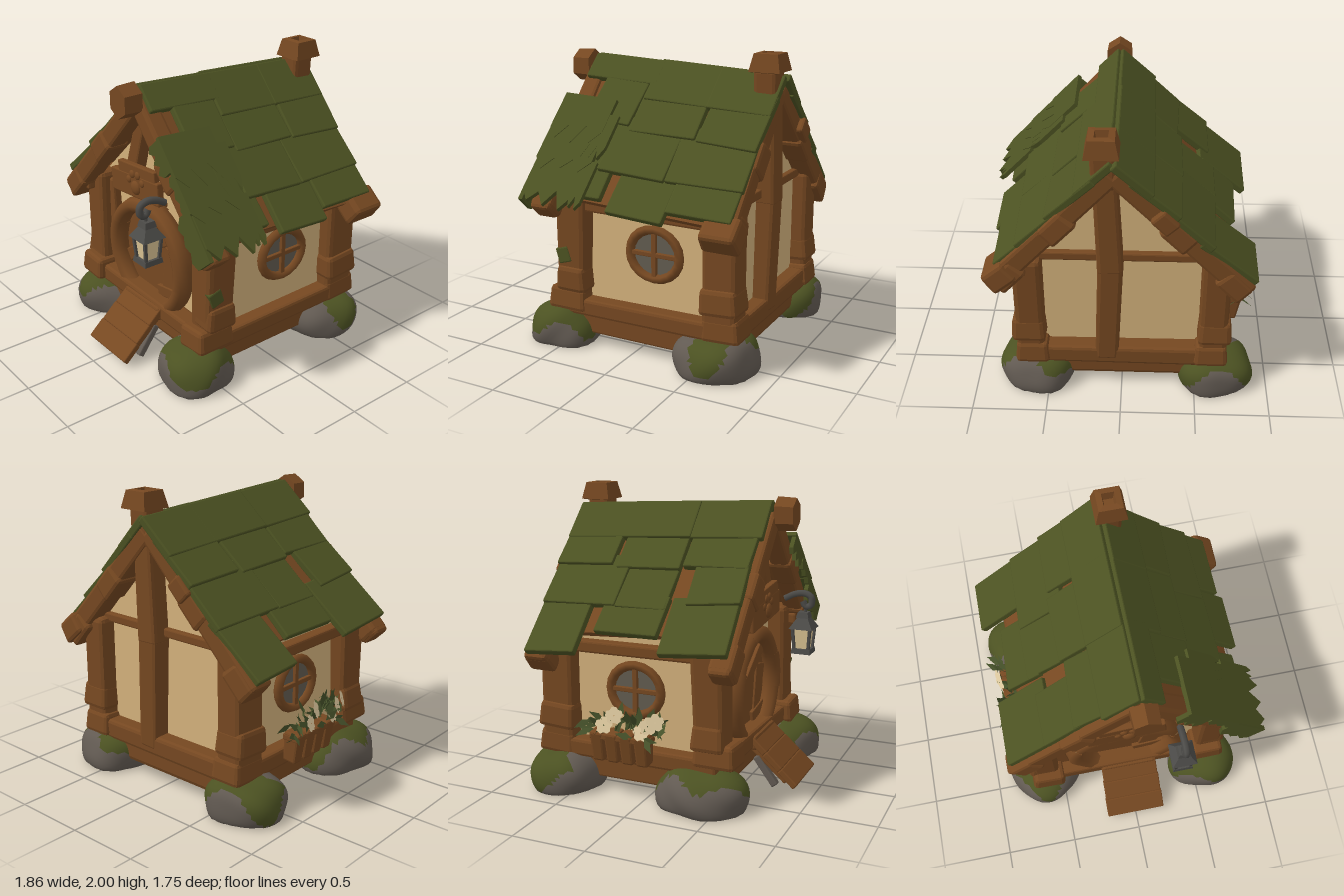
import * as THREE from 'three';
import { mergeVertices } from 'three/addons/utils/BufferGeometryUtils.js';
import { RoundedBoxGeometry } from 'three/addons/geometries/RoundedBoxGeometry.js';

const mat = (name, color, side = THREE.FrontSide) => new THREE.MeshStandardMaterial({ name, color, side });
const V = (x, y, z) => new THREE.Vector3(x, y, z);
const shapeOf = pts => new THREE.Shape(pts.map(p => new THREE.Vector2(...p)));

export function createModel() {
  const root = new THREE.Group();
  root.name = 'cottage';
  const wood = mat('wood', 0x764821), moss = mat('moss', 0x4c5222), plaster = mat('plaster', 0xd4b27c);
  const stone = mat('stone', 0x625a52), iron = mat('iron', 0x4c4b48), glass = mat('glass', 0x625c50);
  const glow = mat('lampGlass', 0xdcc594), leaf = mat('leaf', 0x46522a, THREE.DoubleSide), petal = mat('petal', 0xe8d2a6, THREE.DoubleSide);
  let seed = 7;
  const rnd = (a, b) => { seed = (seed * 16807) % 2147483647; return a + (b - a) * seed / 2147483647; };

  const add = (name, geo, m, x = 0, y = 0, z = 0, parent = root) => {
    const mesh = new THREE.Mesh(geo, m);
    mesh.name = name;
    mesh.position.set(x, y, z);
    parent.add(mesh);
    return mesh;
  };
  // bevelled block, optionally narrowing towards its +y end
  const block = (w, h, d, taper = 0) => {
    const g = new RoundedBoxGeometry(w, h, d, 1, Math.min(w, h, d) * 0.17);
    const p = g.attributes.position;
    for (let i = 0; i < p.count; i++) {
      const k = 1 - taper * p.getY(i) / h;
      p.setXYZ(i, p.getX(i) * k, p.getY(i), p.getZ(i) * k);
    }
    g.computeVertexNormals();
    return g;
  };
  // timber running from a to b
  const beam = (name, a, b, w, d, taper = 0, m = wood) => {
    const y = b.clone().sub(a), len = y.length();
    y.normalize();
    const ref = Math.abs(y.z) > 0.8 ? V(0, 1, 0) : V(0, 0, 1);
    const x = y.clone().cross(ref).normalize(), z = x.clone().cross(y);
    const mesh = add(name, block(w, len, d, taper), m);
    mesh.quaternion.setFromRotationMatrix(new THREE.Matrix4().makeBasis(x, y, z));
    mesh.position.copy(a).add(b).multiplyScalar(0.5);
    return mesh;
  };

  // plaster house body
  const outline = shapeOf([[-0.6, 0.3], [0.6, 0.3], [0.6, 1.12], [0.05, 1.72], [-0.6, 1.1]]);
  add('walls', new THREE.ExtrudeGeometry(outline, { depth: 1.08, bevelEnabled: false }), plaster, 0, 0, -0.66);

  // floor and sills
  add('floor', block(1.24, 0.2, 1.22), wood, 0, 0.18, -0.11);
  beam('frontSill', V(-0.6, 0.33, 0.5), V(0.6, 0.3, 0.5), 0.12, 0.14, 0.1);
  beam('backSill', V(-0.68, 0.29, -0.7), V(0.68, 0.29, -0.7), 0.14, 0.14, 0.1);
  for (const s of [-1, 1]) {
    beam('sideSill', V(s * 0.63, 0.29, -0.66), V(s * 0.63, 0.28, 0.5), 0.15, 0.12, 0.05);
    beam('lowerSideSill', V(s * 0.61, 0.16, -0.66), V(s * 0.61, 0.16, 0.5), 0.08, 0.15);
    beam('eaveBeam', V(s * 0.65, 0.99, -0.74), V(s * 0.65, 1.0, 0.6), 0.09, 0.08);
    // corner posts with footing blocks
    beam('frontPost', V(s * 0.61, 0.3, 0.45), V(s * 0.62, 1.1, 0.43), 0.2, 0.22, -0.12);
    beam('backPost', V(s * 0.61, 0.3, -0.65), V(s * 0.61, 1.08, -0.65), 0.19, 0.24);
    add('frontFoot', block(0.23, 0.16, 0.28, 0.1), wood, s * 0.6, s < 0 ? 0.36 : 0.32, 0.48).rotation.z = s * 0.06;
    add('backFoot', block(0.22, 0.16, 0.26, 0.1), wood, s * 0.6, 0.31, -0.66).rotation.x = 0.05;
    add('frontPostCollar', block(0.18, 0.18, 0.22, 0.15), wood, s * 0.64, 0.48, 0.44).rotation.z = -0.08;
    add('backPostCollar', block(0.22, 0.18, 0.26, 0.1), wood, s * 0.62, 0.5, -0.65).rotation.x = 0.06;
  }
  beam('frontBrace', V(-0.51, 0.36, 0.43), V(-0.56, 1.05, 0.43), 0.18, 0.1, 0.1);
  add('postMoss', block(0.06, 0.11, 0.1), moss, 0.69, 0.64, 0.49).rotation.x = 0.3;

  // gable timbers
  beam('frontTie', V(-0.56, 1.06, 0.42), V(0.1, 1.06, 0.42), 0.055, 0.05);
  beam('gableStrut', V(-0.21, 1.2, 0.46), V(-0.05, 1.7, 0.46), 0.11, 0.09, 0.1);
  beam('gableStrut', V(0.25, 1.22, 0.48), V(0.14, 1.52, 0.48), 0.11, 0.09, 0.1);
  beam('gableStrut', V(0.32, 1.24, 0.45), V(0.06, 1.72, 0.45), 0.1, 0.08, 0.1);
  beam('backTie', V(-0.6, 1.08, -0.67), V(0.6, 1.08, -0.67), 0.06, 0.06);
  beam('backCentrePost', V(0.1, 0.26, -0.7), V(0.07, 1.05, -0.71), 0.16, 0.15, -0.05);
  beam('backCentrePost', V(0.07, 1.0, -0.71), V(0.1, 1.72, -0.71), 0.16, 0.15, 0.1);

  // rafters at both ends, with wrapped joints; the back pair sits lower
  for (const [z, d, y0] of [[0.57, 0.14, 0], [-0.72, 0.16, -0.06]]) {
    beam('leftRafter', V(0.05, 1.81 + y0, z), V(-0.81, 0.91 + y0 / 2, z), 0.14, d, -0.15);
    beam('rightRafter', V(0.05, 1.81 + y0, z), V(0.82, 0.95 + y0 / 2, z), 0.14, d, -0.15);
    for (const [x, y, a] of [[-0.36, 1.38, 0.8], [-0.72, 1.0, 0.8], [0.4, 1.42, -0.83], [0.73, 1.04, -0.83]])
      add('rafterJoint', block(0.22, 0.155, d + 0.03, 0.1), wood, x, y + y0, z).rotation.z = a;
  }
  add('rafterPeg', block(0.15, 0.12, 0.1), wood, -0.27, 1.44, -0.79).rotation.z = 0.8;
  add('rafterTail', block(0.19, 0.16, 0.25, 0.1), wood, 0.78, 0.98, -0.71).rotation.z = -0.7;
  add('ridgeBeam', block(0.1, 0.1, 1.34), wood, 0.05, 1.74, -0.07);
  const ridgeEnd = add('ridgeEnd', new THREE.CylinderGeometry(0.095, 0.1, 0.13, 6).toNonIndexed(), wood, 0.06, 1.83, 0.69);
  ridgeEnd.rotation.x = Math.PI / 2;
  ridgeEnd.scale.z = 1.15;
  ridgeEnd.geometry.computeVertexNormals();

  // mossy slab whose far edge is torn into uneven tufts
  const ragged = (len, width) => {
    const pts = [[0, -width / 2]];
    for (let i = 0; i <= 6; i++) pts.push([len * (i % 2 ? rnd(0.9, 1) : rnd(0.6, 0.85)), -width / 2 + width * i / 6]);
    pts.push([0, width / 2]);
    return new THREE.ExtrudeGeometry(shapeOf(pts), { depth: 0.03, bevelEnabled: false });
  };
  // roof slopes: local x runs along the slope, y points outward
  const slopes = [
    { s: 1, angle: -0.835, back: -0.81, sheet: 1.06, ends: [1.06, 1.13, 1.05], gaps: [[0, 0, 0.08], [0.02, 0, 0]] },
    { s: -1, angle: 0.79, back: -0.83, sheet: 1.02, ends: [1.18, 1.05, 1.22], gaps: [[0.02, 0.12, 0.03], [0.03, 0, 0.09]] },
  ];
  for (const { s, angle, back, sheet, ends, gaps } of slopes) {
    const slope = new THREE.Group();
    slope.name = s > 0 ? 'rightRoof' : 'leftRoof';
    slope.position.set(0.05, 1.82, 0);
    slope.rotation.set(-0.05, 0, angle);
    root.add(slope);
    add('sheathing', new THREE.BoxGeometry(sheet, 0.04, 1.34), wood, s * sheet / 2, 0, -0.11, slope);
    const cuts = [0.57, 0.14, -0.34, back];
    [0.12, 0.42, 0.74].forEach((start, row) => {
      for (let c = 0; c < 3; c++) {
        const shift = row % 2 ? 0.06 : -0.03;
        // bare boards are left beside the front ridge on one slope
        const front = s > 0 && row === 0 ? 0.44 : cuts[0];
        const z0 = c ? cuts[c] + shift - gaps[c - 1][row] : front, z1 = cuts[c + 1] + (c < 2 ? shift : 0);
        const l = row === 2 ? ends[c] - start : 0.4 + rnd(-0.02, 0.04);
        const t = add('mossTile', block(l, 0.05, z0 - z1), moss, s * (start + l / 2), 0.045 + rnd(-0.006, 0.01), (z0 + z1) / 2, slope);
        t.rotation.set(rnd(-0.03, 0.03), rnd(-0.05, 0.05), s * rnd(0.04, 0.08));
      }
    });
    for (const [a, b, l] of [[0.6, 0.05, s > 0 ? 0.2 : 0.32], [0.1, -0.42, 0.32], [-0.36, back, 0.32]])
      add('ridgeMoss', block(l, 0.055, a - b), moss, s * (l / 2 - 0.04), 0.04 + rnd(0, 0.01), (a + b) / 2, slope).rotation.z = s * 0.04;
    if (s < 0) continue;
    for (const [x, z, l, w] of [[0.34, 0.46, 0.38, 0.4], [0.58, 0.45, 0.36, 0.42], [0.82, 0.46, 0.38, 0.38], [0.82, 0.27, 0.36, 0.14], [0.46, 0.28, 0.36, 0.18]])
      add('raggedMoss', ragged(l, w).rotateX(-Math.PI / 2), moss, x, 0.08, z, slope).rotation.z = 0.02;
    // tufts hanging over the front edge
    for (const [x, w, drop] of [[0.46, 0.22, 0.15], [0.72, 0.26, 0.08], [1.0, 0.34, 0.18]])
      add('hangingMoss', ragged(drop, w).rotateZ(-Math.PI / 2), moss, x, 0.1, 0.63, slope);
  }

  // chimney post with a hollow cap
  beam('chimney', V(0.1, 1.64, -0.71), V(0.11, 1.9, -0.71), 0.16, 0.16);
  const capProfile = [[0.09, 1.87], [0.15, 1.88], [0.115, 1.995], [0.06, 2], [0.045, 1.94], [0, 1.94]].map(p => new THREE.Vector2(...p));
  const cap = new THREE.LatheGeometry(capProfile, 4).toNonIndexed();
  cap.computeVertexNormals();
  add('chimneyCap', cap, wood, 0.115, 0, -0.72).rotation.y = Math.PI / 4;

  // round door in a segmented frame
  const door = add('door', new THREE.CylinderGeometry(0.36, 0.36, 0.05, 32), wood, -0.01, 0.64, 0.43);
  door.rotation.x = Math.PI / 2;
  beam('doorBrace', V(-0.3, 0.53, 0.46), V(0.26, 0.9, 0.46), 0.09, 0.04);
  beam('doorBoard', V(0.14, 0.36, 0.455), V(0.22, 0.75, 0.455), 0.14, 0.03, -0.3);
  beam('doorBoard', V(0.05, 0.4, 0.46), V(0.3, 0.44, 0.46), 0.08, 0.04);
  const from = -0.95, arc = (Math.PI + 1.9) / 7;
  for (let i = 0; i < 7; i++) {
    const seg = add('doorFrame', new THREE.TorusGeometry(0.375, i % 2 ? 0.062 : 0.056, 8, 8, arc + 0.02), wood, -0.01, 0.64, 0.49);
    seg.rotation.z = from + i * arc;
    seg.scale.z = 1.3;
  }

  // ramp
  for (let i = 0; i < 3; i++)
    add('rampPlank', block(0.41 + 0.01 * i, 0.045, 0.15), wood, 0, 0.29 - i * 0.1, 0.6 + i * 0.11).rotation.x = 0.74;
  add('doorStep', block(0.4, 0.1, 0.12), wood, 0, 0.3, 0.53);
  for (const s of [-1, 1]) {
    beam('rampRail', V(s * 0.14, 0.27, 0.55), V(s * 0.14, 0.05, 0.8), 0.05, 0.05);
    beam('rampLeg', V(s * 0.15, 0.01, 0.72), V(s * 0.15, 0.2, 0.58), 0.05, 0.05, 0, stone);
  }

  // hanging sign with a raised paw print
  const sign = new THREE.Group();
  sign.name = 'sign';
  sign.position.set(-0.03, 1.21, 0.57);
  sign.rotation.z = 0.09;
  root.add(sign);
  add('signBoard', block(0.54, 0.16, 0.05), wood, 0, -0.02, 0, sign);
  add('signBoardTop', block(0.42, 0.12, 0.045), wood, 0.03, 0.07, 0, sign);
  for (const [x, y, r] of [[0, -0.025, 0.05], [-0.075, 0.02, 0.026], [-0.03, 0.065, 0.028], [0.03, 0.065, 0.028], [0.075, 0.02, 0.026]])
    add('pawPad', new THREE.SphereGeometry(r, 12, 8), wood, x + 0.02, y, 0.024, sign).scale.z = 0.5;

  // round side windows
  for (const s of [-1, 1]) {
    const win = new THREE.Group();
    win.name = 'sideWindow';
    win.position.set(s * 0.605, 0.715, s > 0 ? -0.155 : -0.1);
    win.rotation.y = s * Math.PI / 2;
    win.scale.y = 0.92;
    root.add(win);
    add('windowFrame', new THREE.TorusGeometry(0.182, 0.034, 6, 20), wood, 0, 0, 0.012, win);
    add('windowGlass', new THREE.CircleGeometry(0.17, 24), glass, 0, 0, 0.008, win);
    add('mullion', block(0.035, 0.34, 0.03), wood, 0, 0, 0.015, win);
    add('mullion', block(0.34, 0.035, 0.03), wood, 0, 0, 0.015, win);
  }

  // lantern on a curled hook
  const lamp = new THREE.Group();
  lamp.name = 'lantern';
  lamp.position.set(0.33, 0, 0.745);
  root.add(lamp);
  const square = (name, rt, rb, h, y, m) => {
    const g = new THREE.CylinderGeometry(rt * 1.414, rb * 1.414, h, 4).rotateY(Math.PI / 4).toNonIndexed();
    g.computeVertexNormals();
    return add(name, g, m, 0, y, 0, lamp);
  };
  square('lampBase', 0.065, 0.07, 0.035, 0.85, iron);
  square('lampGlass', 0.058, 0.045, 0.15, 0.94, glow);
  square('lampRoof', 0.035, 0.085, 0.08, 1.05, iron);
  square('lampTop', 0.035, 0.045, 0.04, 1.105, iron);
  for (const a of [-1, 1]) for (const b of [-1, 1])
    beam('lampBar', V(0.33 + a * 0.05, 0.86, 0.745 + b * 0.05), V(0.33 + a * 0.062, 1.01, 0.745 + b * 0.062), 0.022, 0.022, 0, iron);
  const hook = new THREE.CatmullRomCurve3([V(0, 1.2, -0.01), V(0, 1.165, 0.01), V(0, 1.17, 0.045), V(0, 1.23, 0.05), V(0, 1.255, 0), V(0, 1.245, -0.07), V(0, 1.21, -0.14)]);
  add('lampHook', new THREE.TubeGeometry(hook, 24, 0.024, 6), iron, 0, 0, 0, lamp);
  add('lampLink', new THREE.CylinderGeometry(0.012, 0.012, 0.08, 6), iron, 0, 1.15, 0.01, lamp);

  // flower box
  for (let i = 0; i < 4; i++)
    add('planterSlat', block(0.11, 0.21, 0.09, -0.2), wood, -0.76, 0.37, -0.29 + i * 0.105).rotation.z = 0.12;
  add('planterBand', block(0.12, 0.04, 0.42), wood, -0.765, 0.44, -0.13);
  const leafGeo = new THREE.ShapeGeometry(shapeOf([[0, 0], [0.025, 0.05], [0, 0.12], [-0.025, 0.05]]));
  for (let i = 0; i < 56; i++)
    add('leaf', leafGeo, leaf, rnd(-0.84, -0.74), rnd(0.45, 0.55), rnd(-0.34, 0.16)).rotation.set(rnd(-1.2, 1.2), rnd(0, 6.3), rnd(-1.4, 1.4));
  const petalGeo = new THREE.CircleGeometry(0.03, 6).translate(0, 0.03, 0);
  for (let i = 0; i < 5; i++) {
    const f = new THREE.Group();
    f.name = 'flower';
    f.position.set(rnd(-0.85, -0.81), [0.53, 0.6, 0.51, 0.56, 0.59][i], [-0.22, -0.15, 0.04, 0.09, 0.14][i]);
    f.rotation.set(-0.6, -0.9 - rnd(0, 0.7), 0, 'YXZ');
    for (let k = 0; k < 5; k++) add('petal', petalGeo, petal, 0, 0, 0, f).rotation.set(0.3, 0, k * 1.257);
    root.add(f);
  }

  // corner boulders, mossy in patches
  [[0.575, 0.565, 0.25, 0.235], [-0.62, 0.385, 0.27, 0.3], [0.58, -0.585, 0.25, 0.285], [-0.64, -0.62, 0.25, 0.25]].forEach(([x, z, rx, rz], n) => {
    let g = new THREE.IcosahedronGeometry(1, 7);
    g.deleteAttribute('uv');
    g.deleteAttribute('normal');
    g = mergeVertices(g);
    const p = g.attributes.position, v = V(0, 0, 0);
    for (let i = 0; i < p.count; i++) {
      v.fromBufferAttribute(p, i);
      const boxy = Math.cbrt(Math.abs(v.x) ** 3 + Math.abs(v.y) ** 3 + Math.abs(v.z) ** 3) * 0.4 + 0.6;
      const k = (1 + 0.05 * Math.sin(4 * v.x + n * 2) + 0.04 * Math.sin(5 * v.z + 3 * v.y + n)) / boxy;
      p.setXYZ(i, v.x * k * rx, Math.max(0, 0.075 + v.y * k * 0.19), v.z * k * rz);
    }
    const bare = [], mossy = [], ix = g.index.array;
    for (let i = 0; i < ix.length; i += 3) {
      v.set(0, 0, 0);
      for (let j = 0; j < 3; j++) v.add(V(p.getX(ix[i + j]), p.getY(ix[i + j]), p.getZ(ix[i + j])).divideScalar(3));
      const patch = v.y + 0.08 * Math.sin(13 * v.x + n * 1.7) + 0.07 * Math.sin(15 * v.z + n);
      (patch > 0.15 ? mossy : bare).push(ix[i], ix[i + 1], ix[i + 2]);
    }
    g.setIndex([...bare, ...mossy]);
    g.addGroup(0, bare.length, 0);
    g.addGroup(bare.length, mossy.length, 1);
    g.computeVertexNormals();
    add('boulder', g, [stone, moss], x, 0, z);
  });
  return root;
}
